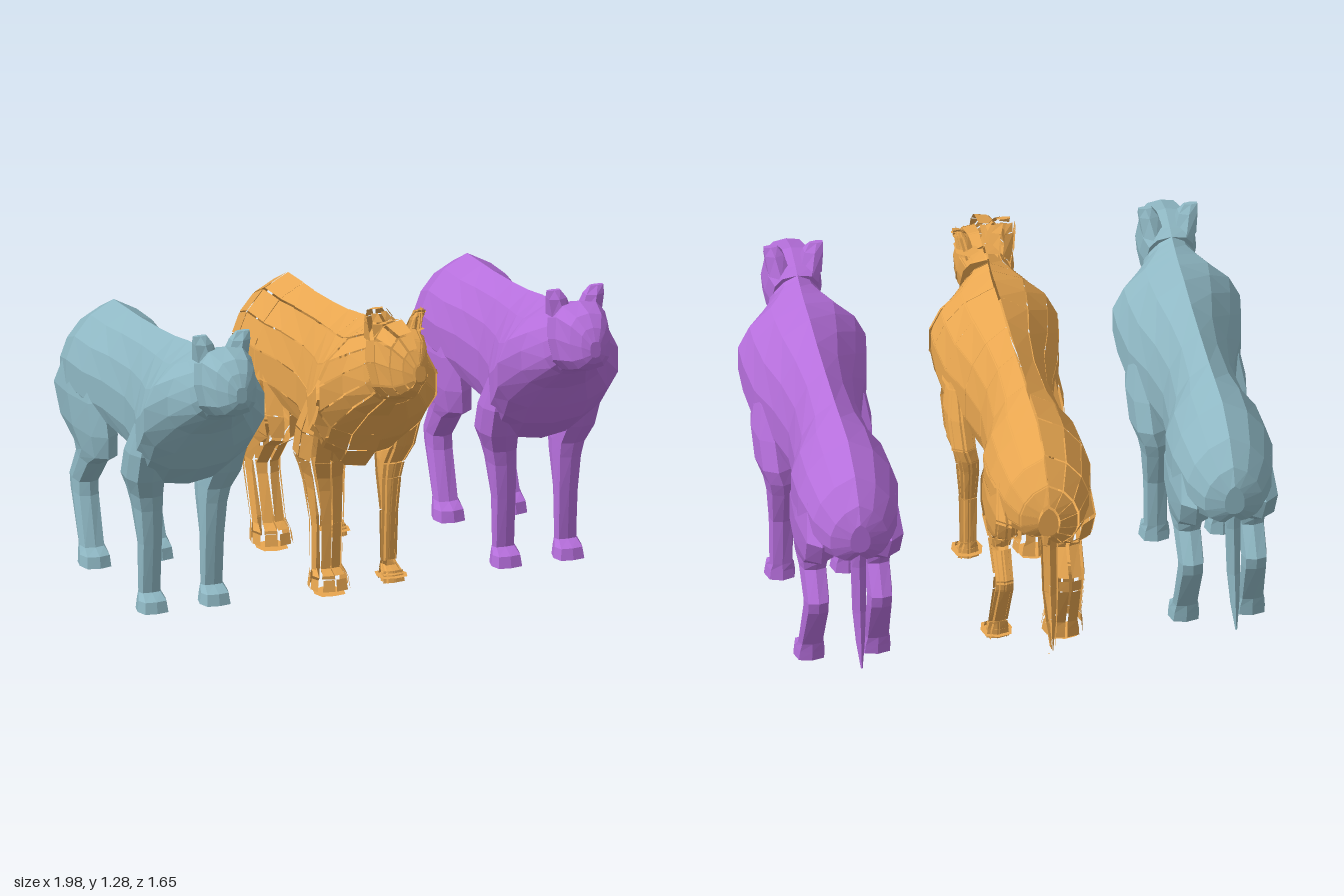
import * as THREE from 'three';

// Cross-sections: [zA, yA, zB, yB, halfWidth, xCentre]; A is the top (or front) of the ring, B the bottom (or back).
const BODY = [
  [-0.775, 0.83, -0.77, 0.70, 0.04], [-0.745, 0.90, -0.74, 0.645, 0.115], [-0.665, 0.985, -0.66, 0.62, 0.17],
  [-0.52, 1.06, -0.52, 0.62, 0.203], [-0.36, 1.068, -0.37, 0.61, 0.2], [-0.25, 1.073, -0.25, 0.59, 0.162],
  [-0.05, 1.09, -0.05, 0.565, 0.147], [0.12, 1.11, 0.12, 0.545, 0.175], [0.26, 1.135, 0.25, 0.545, 0.225],
  [0.36, 1.145, 0.36, 0.64, 0.25], [0.42, 1.155, 0.42, 0.725, 0.258], [0.455, 1.165, 0.49, 0.825, 0.18],
  [0.49, 1.175, 0.58, 0.91, 0.112], [0.54, 1.19, 0.63, 0.95, 0.095],
];
const HEAD = [
  [0.51, 1.18, 0.59, 0.92, 0.095], [0.55, 1.20, 0.64, 0.945, 0.113], [0.64, 1.23, 0.71, 0.965, 0.113],
  [0.74, 1.21, 0.765, 0.985, 0.085], [0.785, 1.165, 0.80, 1.02, 0.052], [0.81, 1.115, 0.812, 1.05, 0.022],
];
const EAR = [
  [0.607, 1.272, 0.585, 1.272, 0.03, 0.09], [0.63, 1.24, 0.56, 1.24, 0.042, 0.078], [0.645, 1.17, 0.52, 1.16, 0.05, 0.06],
];
const FRONT_LEG = [
  [0.34, 0.82, 0.18, 0.80, 0.05, 0.165], [0.33, 0.70, 0.11, 0.68, 0.072, 0.166], [0.28, 0.58, 0.06, 0.57, 0.072, 0.16],
  [0.235, 0.50, 0.06, 0.51, 0.062, 0.142], [0.225, 0.44, 0.08, 0.45, 0.056, 0.135], [0.215, 0.30, 0.13, 0.30, 0.048, 0.13],
  [0.20, 0.10, 0.14, 0.10, 0.046, 0.13], [0.25, 0.075, 0.138, 0.07, 0.056, 0.13], [0.26, 0.03, 0.135, 0.03, 0.062, 0.13],
];
const HIND_LEG = [
  [-0.34, 0.84, -0.62, 0.84, 0.05, 0.135], [-0.275, 0.72, -0.71, 0.70, 0.068, 0.137], [-0.25, 0.59, -0.65, 0.59, 0.07, 0.131],
  [-0.26, 0.50, -0.53, 0.515, 0.06, 0.125], [-0.36, 0.45, -0.51, 0.475, 0.053, 0.125], [-0.455, 0.345, -0.58, 0.36, 0.05, 0.125],
  [-0.45, 0.29, -0.57, 0.31, 0.05, 0.125], [-0.385, 0.10, -0.47, 0.11, 0.05, 0.13],
  [-0.34, 0.075, -0.465, 0.07, 0.058, 0.13], [-0.33, 0.03, -0.46, 0.03, 0.062, 0.13],
];
const TAIL = [
  [-0.69, 0.70, -0.765, 0.72, 0.035], [-0.70, 0.62, -0.755, 0.62, 0.032], [-0.715, 0.42, -0.77, 0.42, 0.028],
  [-0.75, 0.29, -0.79, 0.29, 0.018], [-0.797, 0.19, -0.803, 0.19, 0.004],
];

// Skins a row of rings. power squares the rings off, sag moves their widest point toward B (below 1) or A (above 1),
// and shift cracks the skin: panels move out along their normals on the right half, in on the left half.
function loft(sections, { sides, side = 1, power = 1, sag = 1, shift = 0 }) {
  const soft = (v) => Math.sign(v) * Math.abs(v) ** power;
  const rings = sections.map(([zA, yA, zB, yB, w, x = 0]) =>
    Array.from({ length: sides }, (_, j) => {
      const a = (j / sides) * Math.PI * 2;
      const t = Math.max(0, (1 - soft(Math.cos(a))) / 2) ** sag;
      return new THREE.Vector3(x * side + w * soft(Math.sin(a)), yA + (yB - yA) * t, zA + (zB - zA) * t);
    }));
  const positions = [];
  const panel = (...tris) => {
    const normal = new THREE.Vector3();
    for (const [a, b, c] of tris) normal.add(b.clone().sub(a).cross(c.clone().sub(a)));
    const points = tris.flat();
    const across = points.reduce((sum, p) => sum + p.x, 0);
    normal.normalize().multiplyScalar(across > 0.001 ? -shift : shift);
    for (const p of points) positions.push(...p.clone().add(normal).toArray());
  };
  for (let i = 0; i < rings.length - 1; i++) {
    for (let j = 0; j < sides; j++) {
      const k = (j + 1) % sides;
      const [a, b, c, d] = [rings[i][j], rings[i][k], rings[i + 1][j], rings[i + 1][k]];
      panel([a, c, b], [b, c, d]);
    }
  }
  // End caps
  const middle = (ring) => ring.reduce((s, p) => s.add(p), new THREE.Vector3()).divideScalar(sides);
  const first = rings[0], last = rings[rings.length - 1];
  const c0 = middle(first), c1 = middle(last);
  panel(...first.map((p, j) => [c0, p, first[(j + 1) % sides]]));
  panel(...last.map((p, j) => [c1, last[(j + 1) % sides], p]));
  const geometry = new THREE.BufferGeometry();
  geometry.setAttribute('position', new THREE.Float32BufferAttribute(positions, 3));
  geometry.computeVertexNormals();
  return geometry;
}

function createCat(name, color, x, shift) {
  const cat = new THREE.Group();
  cat.name = name;
  cat.position.x = x;
  const material = new THREE.MeshStandardMaterial({ color, flatShading: true, side: THREE.DoubleSide });
  const add = (part, sections, options) => {
    const mesh = new THREE.Mesh(loft(sections, { ...options, shift }), material);
    mesh.name = part;
    cat.add(mesh);
  };
  add('body', BODY, { sides: 14, power: 0.88, sag: 0.68 });
  add('head', HEAD, { sides: 12, power: 0.7 });
  add('tail', TAIL, { sides: 6 });
  // Paired parts
  for (const [label, side] of [['left', 1], ['right', -1]]) {
    add(label + 'Ear', EAR, { sides: 6, side, power: 0.9 });
    add(label + 'FrontLeg', FRONT_LEG, { sides: 8, side, power: 0.7, sag: 1.2 });
    add(label + 'HindLeg', HIND_LEG, { sides: 8, side, power: 0.65 });
  }
  return cat;
}

export function createModel() {
  const model = new THREE.Group();
  model.name = 'threeCats';
  model.add(
    createCat('blueCat', 0x8fb8c4, -0.74, 0),
    createCat('crackedOrangeCat', 0xe8a650, 0, 0.02),
    createCat('purpleCat', 0xb66fdc, 0.74, 0),
  );
  return model;
}
